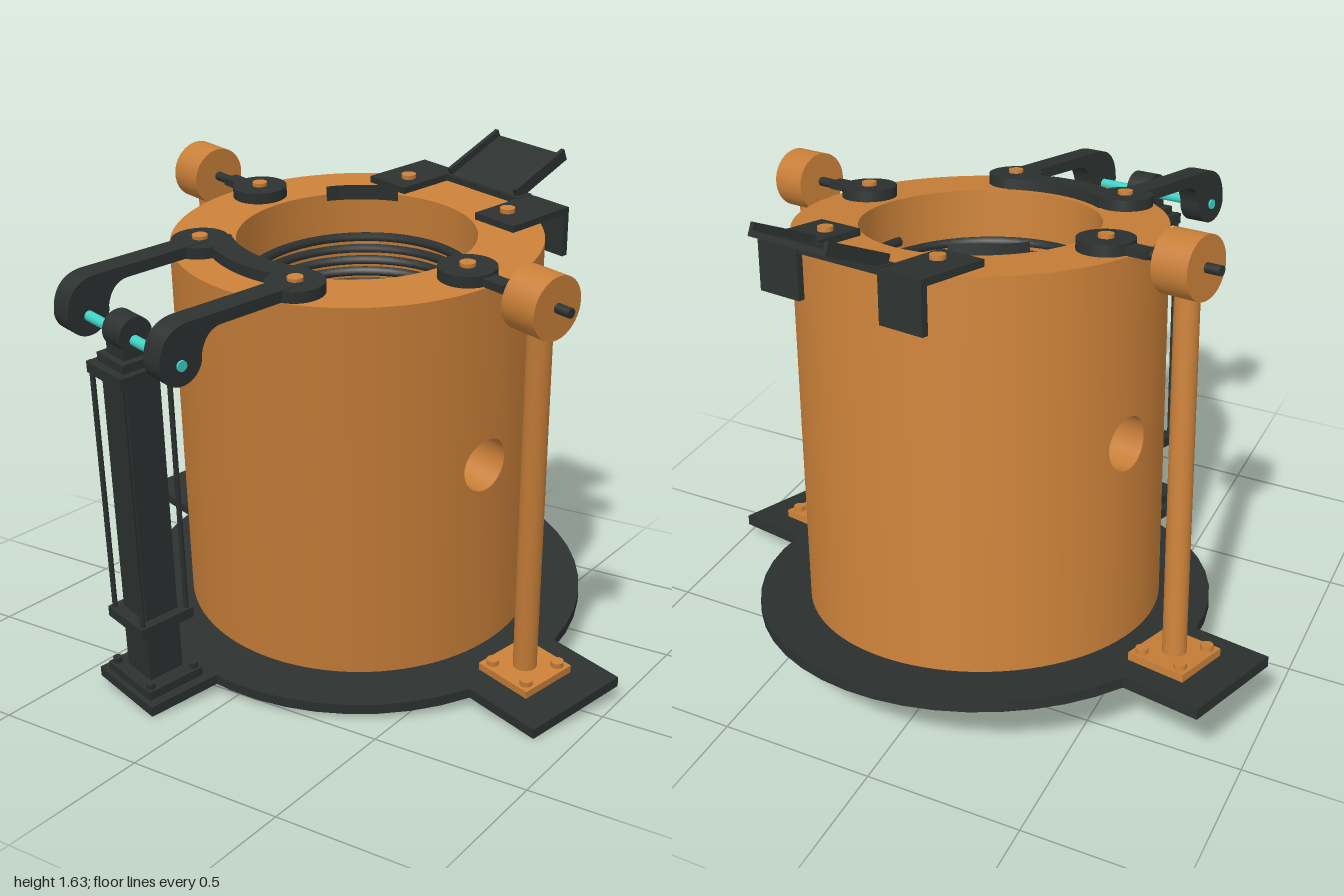
import * as THREE from 'three';
import { ParametricGeometry } from 'three/addons/geometries/ParametricGeometry.js';

const orange = new THREE.MeshStandardMaterial({ color: 0xc87f38 });
const shell = new THREE.MeshStandardMaterial({ color: 0xc87f38, side: THREE.DoubleSide });
const dark = new THREE.MeshStandardMaterial({ color: 0x2c3130 });
const darkThin = new THREE.MeshStandardMaterial({ color: 0x2c3130, side: THREE.DoubleSide });
const teal = new THREE.MeshStandardMaterial({ color: 0x40d0c4 });
const red = new THREE.MeshStandardMaterial({ color: 0xd0604c });

const box = (w, h, d) => new THREE.BoxGeometry(w, h, d);
const cyl = (r, h, n = 32) => new THREE.CylinderGeometry(r, r, h, n);
const cylX = (r, l, n = 32) => cyl(r, l, n).rotateZ(Math.PI / 2);

function add(parent, name, geo, mat, x = 0, y = 0, z = 0) {
  const m = new THREE.Mesh(geo, mat);
  m.name = name;
  m.position.set(x, y, z);
  parent.add(m);
  return m;
}

// vessel dimensions
const R = 0.575, RI = 0.372, TOP = 1.25, FLOOR = 0.017;
const PORT_R = 0.085, PORT_H = 0.67, PA = 0.3, PH = 0.2;

// hollow cylinder wall with a round port on each side
function buildVessel(root) {
  const g = new THREE.Group();
  g.name = 'vessel';
  root.add(g);
  const on = (t, r, a, h) => t.set(r * Math.cos(a), h, r * Math.sin(a));
  const patch = (name, r, a0, a1, h0, h1) => add(g, name, new ParametricGeometry(
    (u, v, t) => on(t, r, a0 + (a1 - a0) * u, h0 + (h1 - h0) * v), Math.ceil((a1 - a0) * 16), 1), shell);
  const portPoint = (r, t) => [Math.asin(PORT_R * Math.cos(t) / r), PORT_H + PORT_R * Math.sin(t)];
  for (const base of [0, Math.PI]) {
    for (const r of [R, RI]) {
      const name = r === R ? 'outerWall' : 'innerWall';
      patch(name, r, base + PA, base + Math.PI - PA, FLOOR, TOP);
      patch(name, r, base - PA, base + PA, FLOOR, PORT_H - PH);
      patch(name, r, base - PA, base + PA, PORT_H + PH, TOP);
      // square panel around the round port
      add(g, 'portPanel', new ParametricGeometry((u, v, p) => {
        const t = u * Math.PI * 2, [a, h] = portPoint(r, t);
        const k = 1 / Math.max(Math.abs(Math.cos(t)), Math.abs(Math.sin(t)));
        on(p, r, base + a + (PA * k * Math.cos(t) - a) * v,
          h + (PORT_H + PH * k * Math.sin(t) - h) * v);
      }, 48, 4), shell);
    }
    // tunnel through the wall
    add(g, 'portTunnel', new ParametricGeometry((u, v, p) => {
      const r = R + (RI - R) * v, [a, h] = portPoint(r, u * Math.PI * 2);
      on(p, r, base + a, h);
    }, 48, 2), shell);
  }
  add(g, 'vesselRim', new THREE.RingGeometry(RI, R, 96).rotateX(-Math.PI / 2), shell, 0, TOP, 0);

  // heating coil
  class Helix extends THREE.Curve {
    getPoint(t, out = new THREE.Vector3()) {
      const a = t * 25 * Math.PI * 2;
      return out.set(0.352 * Math.cos(a), 0.1 + t * 1.02, 0.352 * Math.sin(a));
    }
  }
  add(g, 'coil', new THREE.TubeGeometry(new Helix(), 1200, 0.016, 6), dark);
  // short curved strip on the back of the rim
  add(g, 'rimStrip', new THREE.CylinderGeometry(0.366, 0.366, 0.05, 16, 1, true, Math.PI * 1.15, 0.65),
    darkThin, 0, TOP + 0.005, 0);
}

// round base with three tabs
function buildBase(root) {
  add(root, 'basePlate', cyl(0.74, 0.034, 48), dark);
  for (const s of [-1, 1]) add(root, 'sideTab', box(0.4, 0.034, 0.38), dark, s * 0.78);
  add(root, 'frontTab', box(0.28, 0.034, 0.4), dark, 0, 0, 0.77);
  add(root, 'sensor', box(0.025, 0.01, 0.025), red, 0, 0.022, 0);
}

// side column with round head, rod and clamp washer
function buildPost(root, s) {
  const g = new THREE.Group();
  g.name = 'sidePost';
  root.add(g);
  const x = s * 0.765;
  add(g, 'postFoot', box(0.2, 0.025, 0.2), orange, x, 0.03, 0);
  for (const a of [-1, 1]) for (const b of [-1, 1])
    add(g, 'footBolt', cyl(0.02, 0.018, 12), orange, x + a * 0.07, 0.05, b * 0.07);
  add(g, 'post', cyl(0.037, 1.22), orange, x, 0.64, 0);
  add(g, 'postHead', cylX(0.095, 0.12, 48), orange, x, 1.26, 0);
  add(g, 'postRod', cylX(0.015, 0.39, 16), dark, s * 0.68, 1.262, 0);
  add(g, 'clampArm', box(0.12, 0.025, 0.05), dark, s * 0.58, 1.265, 0);
  clamp(g, s * 0.48, 0);
}

function clamp(parent, x, z) {
  add(parent, 'clampDisc', cyl(0.088, 0.035), dark, x, TOP + 0.018, z);
  add(parent, 'clampBolt', cyl(0.024, 0.014, 20), orange, x, TOP + 0.04, z);
}

// pair of drooping arms, the strap between them and the cross rod
function buildFrontYoke(root) {
  const g = new THREE.Group();
  g.name = 'frontYoke';
  root.add(g);
  const side = new THREE.Shape();
  side.moveTo(0.43, 1.252);
  side.lineTo(0.72, 1.252);
  side.quadraticCurveTo(0.775, 1.25, 0.79, 1.185);
  side.absarc(0.86, 1.18, 0.07, Math.PI, Math.PI * 2, false);
  side.quadraticCurveTo(0.925, 1.285, 0.83, 1.29);
  side.lineTo(0.43, 1.287);
  const arm = new THREE.ExtrudeGeometry(side, { depth: 0.075, bevelEnabled: false, curveSegments: 16 })
    .rotateY(-Math.PI / 2).translate(0.0375, 0, 0);
  for (const s of [-1, 1]) {
    add(g, 'yokeArm', arm, dark, s * 0.226);
    clamp(g, s * 0.226, 0.43);
  }
  const strap = new THREE.Shape();
  strap.absarc(0, 0, 0.47, Math.PI * 1.34, Math.PI * 1.66, false);
  strap.absarc(0, 0, 0.39, Math.PI * 1.66, Math.PI * 1.34, true);
  add(g, 'yokeStrap', new THREE.ExtrudeGeometry(strap, { depth: 0.035, bevelEnabled: false, curveSegments: 24 })
    .rotateX(-Math.PI / 2), dark, 0, TOP + 0.001, 0);
  add(g, 'crossRod', cylX(0.016, 0.54, 20), teal, 0, 1.172, 0.86);
}

// upright actuator under the cross rod
function buildActuator(root) {
  const g = new THREE.Group();
  g.name = 'actuator';
  g.position.z = 0.855;
  root.add(g);
  add(g, 'actuatorFoot', box(0.22, 0.03, 0.2), dark, 0, 0.032, 0);
  add(g, 'lowerBlock', box(0.12, 0.2, 0.12), dark, 0, 0.14, 0);
  add(g, 'lowerCollar', box(0.18, 0.035, 0.19), dark, 0, 0.245, 0);
  add(g, 'actuatorBody', box(0.12, 0.82, 0.115), dark, 0, 0.66, 0);
  add(g, 'upperCollar', box(0.17, 0.035, 0.18), dark, 0, 1.075, 0);
  add(g, 'upperBlock', box(0.13, 0.03, 0.13), dark, 0, 1.105, 0);
  add(g, 'pivotBlock', box(0.085, 0.08, 0.09), dark, 0, 1.14, 0);
  add(g, 'pivotEye', cylX(0.055, 0.085), dark, 0, 1.185, 0);
  for (const a of [-1, 1]) for (const b of [-1, 1]) {
    add(g, 'tieRod', cyl(0.008, 0.87, 10), dark, a * 0.074, 0.66, b * 0.08);
    add(g, 'footBolt', cyl(0.014, 0.02, 10), dark, a * 0.09, 0.055, b * 0.08);
  }
}

// rear angle brackets and tilted chute
function buildChute(root) {
  const g = new THREE.Group();
  g.name = 'rearChute';
  root.add(g);
  for (const s of [-1, 1]) {
    add(g, 'bracketPad', box(0.165, 0.022, 0.25), dark, s * 0.245, TOP + 0.011, -0.475);
    add(g, 'bracketFlange', box(0.165, 0.16, 0.022), dark, s * 0.245, TOP - 0.06, -0.592);
    add(g, 'bracketBolt', cyl(0.024, 0.016, 20), orange, s * 0.226, TOP + 0.028, -0.43);
  }
  add(g, 'chuteBar', box(0.34, 0.022, 0.06), dark, 0, TOP + 0.014, -0.57);
  const ramp = new THREE.Group();
  ramp.name = 'chuteRamp';
  ramp.position.set(0, 1.31, -0.665);
  ramp.rotation.x = 0.364;
  g.add(ramp);
  add(ramp, 'chuteFloor', box(0.3, 0.018, 0.24), dark);
  for (const s of [-1, 1]) add(ramp, 'chuteLip', box(0.014, 0.04, 0.24), dark, s * 0.148, 0.012, 0);
}

export function createModel() {
  const model = new THREE.Group();
  model.name = 'tiltedFurnace';
  const root = new THREE.Group();
  root.name = 'furnaceAssembly';
  model.add(root);
  buildBase(root);
  buildVessel(root);
  for (const s of [-1, 1]) buildPost(root, s);
  buildFrontYoke(root);
  buildActuator(root);
  buildChute(root);

  // the whole assembly leans and is turned a little
  const up = new THREE.Vector3(0.076, 0.986, 0.148).normalize();
  const z = new THREE.Vector3(0.96, -0.113, 0.26).cross(up).normalize();
  const x = up.clone().cross(z);
  root.quaternion.setFromRotationMatrix(new THREE.Matrix4().makeBasis(x, up, z));
  root.position.set(0, 0.152, -0.195);
  return model;
}
